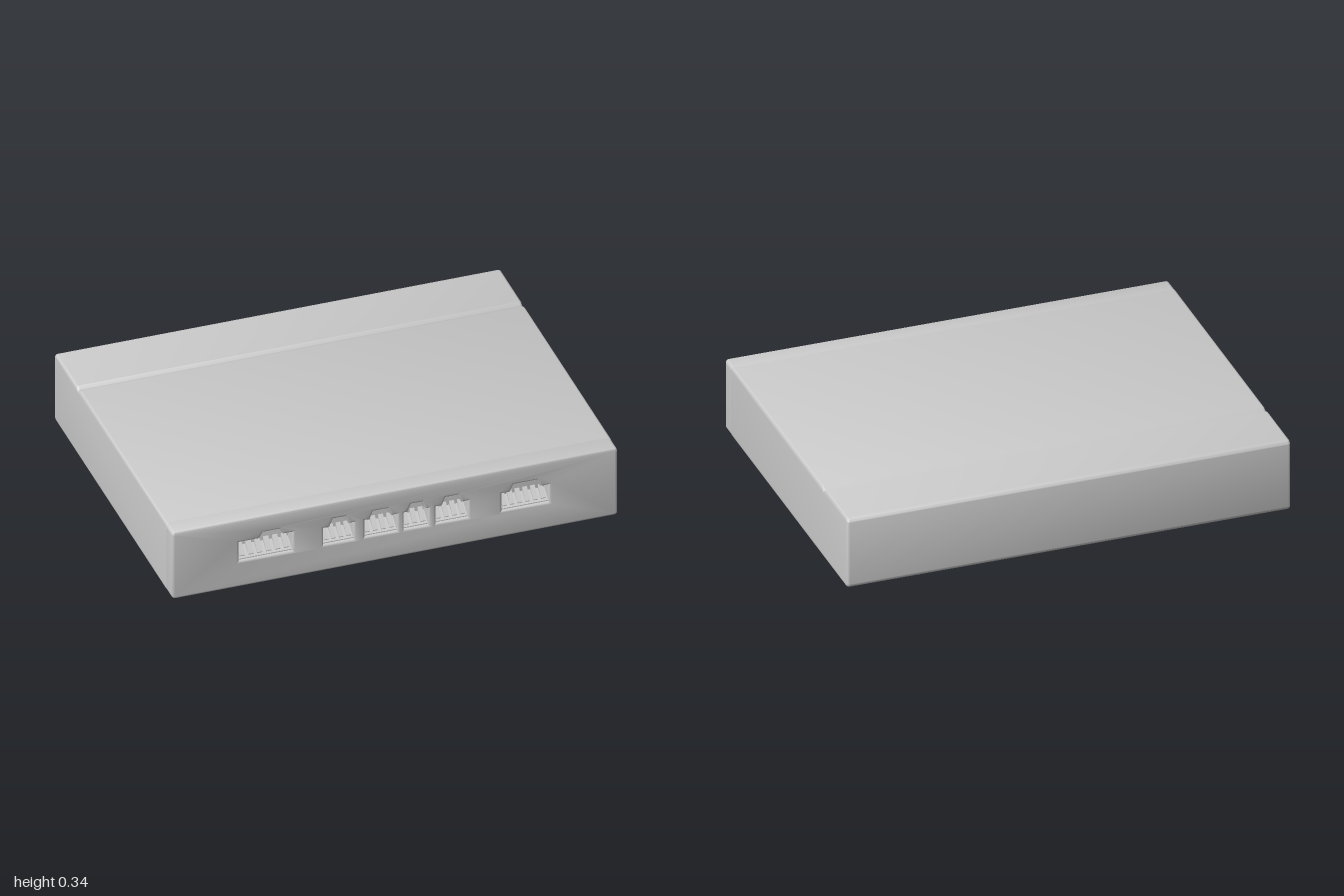
import * as THREE from 'three';
import { toCreasedNormals } from 'three/addons/utils/BufferGeometryUtils.js';

const W = 2, H = 0.335, BACK = -0.752, FRONT = 0.752;
const FLOOR = 0.69;           // depth reached by the port openings
const R = 0.024, BEVEL = 0.012;
const PORT_BASE = 0.13;

// outer left, outer right, tab left, tab right, shoulder height, top height
const PORTS = [
  [-0.7, -0.46, -0.6, -0.51, 0.222, 0.25],
  [-0.32, -0.185, -0.285, -0.215, 0.212, 0.25],
  [-0.135, 0.01, -0.105, -0.025, 0.212, 0.25],
  [0.042, 0.15, 0.065, 0.13, 0.212, 0.25],
  [0.185, 0.328, 0.22, 0.29, 0.212, 0.25],
  [0.48, 0.69, 0.525, 0.645, 0.215, 0.25],
];

const material = new THREE.MeshStandardMaterial({ color: 0xcccccc, roughness: 0.7 });

function addMesh(parent, name, geometry) {
  const mesh = new THREE.Mesh(geometry, material);
  mesh.name = name;
  parent.add(mesh);
  return mesh;
}

// Extrusion from z = 0 to z = depth whose softened edges stay inside the outline
function softExtrude(shape, depth) {
  const geometry = new THREE.ExtrudeGeometry(shape, {
    depth: depth - 2 * BEVEL, bevelEnabled: true, bevelThickness: BEVEL,
    bevelSize: BEVEL, bevelOffset: -BEVEL, bevelSegments: 3, curveSegments: 6,
  });
  geometry.translate(0, 0, BEVEL);
  return toCreasedNormals(geometry, 0.6);
}

// Rounded rectangle; notch is an optional V groove in the top edge
function outline(x0, x1, y0, y1, r, notch) {
  const s = new THREE.Shape();
  s.moveTo(x0 + r, y0);
  s.lineTo(x1 - r, y0);
  s.absarc(x1 - r, y0 + r, r, -Math.PI / 2, 0, false);
  s.lineTo(x1, y1 - r);
  s.absarc(x1 - r, y1 - r, r, 0, Math.PI / 2, false);
  if (notch !== undefined) {
    s.lineTo(notch + 0.028, y1);
    s.lineTo(notch, y1 - 0.012);
    s.lineTo(notch - 0.016, y1);
  }
  s.lineTo(x0 + r, y1);
  s.absarc(x0 + r, y1 - r, r, Math.PI / 2, Math.PI, false);
  s.lineTo(x0, y0 + r);
  s.absarc(x0 + r, y0 + r, r, Math.PI, Math.PI * 1.5, false);
  return s;
}

// Socket opening with a raised latch tab
function portHole([x0, x1, t0, t1, shoulder, top]) {
  return new THREE.Path([
    [x0, PORT_BASE], [x0, shoulder], [t0 - 0.008, shoulder], [t0 + 0.008, top],
    [t1 - 0.008, top], [t1 + 0.008, shoulder], [x1, shoulder], [x1, PORT_BASE],
  ].map(([x, y]) => new THREE.Vector2(x, y)));
}

// Prism with a side profile given as [z, y] points, spanning x0 to x1
function sidePrism(profile, x0, x1) {
  const shape = new THREE.Shape(profile.map(([z, y]) => new THREE.Vector2(z, y)));
  const geometry = new THREE.ExtrudeGeometry(shape, { depth: x1 - x0, bevelEnabled: false });
  geometry.rotateY(-Math.PI / 2);
  geometry.translate(x1, 0, 0);
  return geometry;
}

export function createModel() {
  const model = new THREE.Group();
  model.name = 'networkBox';

  // Main case with the groove across its lid
  const caseGeometry = softExtrude(outline(BACK, FLOOR, 0, H, R, -0.455), W);
  caseGeometry.rotateY(-Math.PI / 2);
  caseGeometry.translate(W / 2, 0, 0);
  addMesh(model, 'case', caseGeometry);

  // Front panel pierced by the ports
  const panelBack = FLOOR - 0.042;
  const panelShape = outline(-W / 2, W / 2, 0, H, 0.016);
  panelShape.holes = PORTS.map(portHole);
  const panelGeometry = softExtrude(panelShape, FRONT - panelBack);
  panelGeometry.translate(0, 0, panelBack);
  addMesh(model, 'frontPanel', panelGeometry);

  // Sloped port floors with a row of contacts
  PORTS.forEach((port, i) => {
    const group = new THREE.Group();
    group.name = `port${i + 1}`;
    const [x0, x1] = port;
    const z0 = FLOOR - 0.005;
    addMesh(group, 'portFloor', sidePrism(
      [[z0, PORT_BASE - 0.005], [FRONT - 0.012, PORT_BASE - 0.005],
        [FRONT - 0.012, PORT_BASE + 0.004], [z0, PORT_BASE + 0.045]], x0, x1));
    const count = Math.max(3, Math.round((x1 - x0) / 0.038));
    const pitch = (x1 - x0) / count;
    for (let k = 0; k < count; k++) {
      const cx = x0 + (k + 0.5) * pitch;
      addMesh(group, 'contact', sidePrism(
        [[z0, PORT_BASE], [FRONT - 0.02, PORT_BASE],
          [FRONT - 0.02, PORT_BASE + 0.014], [z0, PORT_BASE + 0.066]],
        cx - pitch * 0.3, cx + pitch * 0.3));
    }
    model.add(group);
  });

  return model;
}
